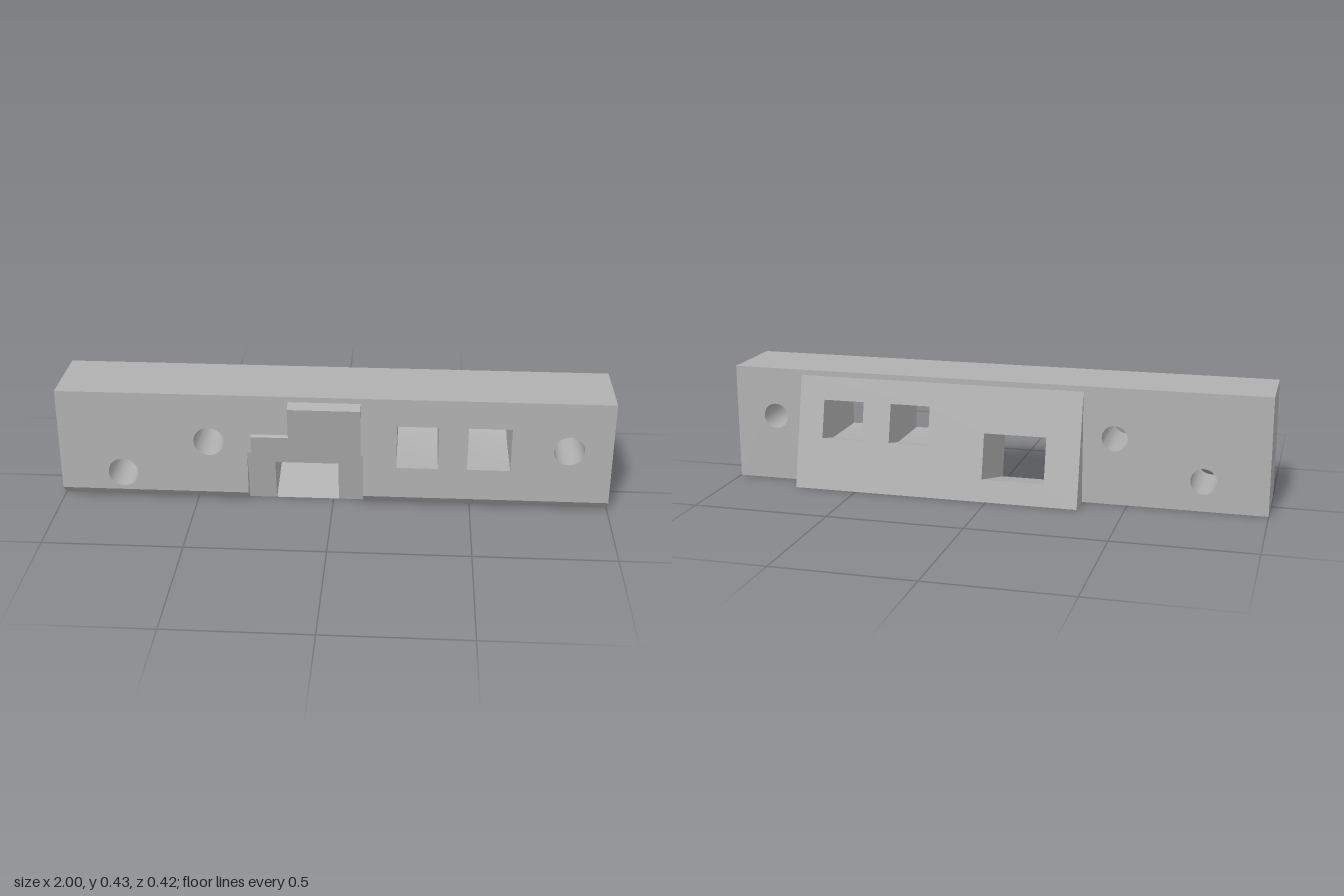
import * as THREE from 'three';
import { toCreasedNormals } from 'three/addons/utils/BufferGeometryUtils.js';

const FRONT = 0.165, BACK = -0.115, TOP = 0.43, CHAMFER = 0.04;
const SLOPE = 0.23;                      // lean shared by the wedge, pocket and hook
const POCKET = [-0.31, 0.11], POCKET_TOP = 0.205;
const WEDGE = [-0.335, 0.735], WEDGE_TOP = 0.41;
const pocketZ = y => FRONT + SLOPE * (y - POCKET_TOP);
const wedgeZ = y => BACK - SLOPE * (WEDGE_TOP - y);

const rect = (x0, x1, y0, y1) => [[x0, y0], [x1, y0], [x1, y1], [x0, y1]];
const circle = (cx, cy, r, n = 32) => Array.from({ length: n }, (_, i) => {
  const a = (i / n) * Math.PI * 2;
  return [cx + r * Math.cos(a), cy + r * Math.sin(a)];
});
const toVectors = pts => pts.map(p => new THREE.Vector2(...p));

export function createModel() {
  const grey = new THREE.MeshStandardMaterial({ color: 0xb0b0b0 });
  grey.name = 'grey';
  const model = new THREE.Group();
  model.name = 'mountingBar';

  const add = (name, geometry) => {
    const mesh = new THREE.Mesh(geometry, grey);
    mesh.name = name;
    model.add(mesh);
  };

  // Flat panel: a 2D outline with holes, placed in space by a rule
  const panel = (name, outline, place, flip = false, holes = []) => {
    const shape = new THREE.Shape(toVectors(outline));
    holes.forEach(h => shape.holes.push(new THREE.Path(toVectors(h))));
    const g = new THREE.ShapeGeometry(shape);
    const p = g.attributes.position;
    for (let i = 0; i < p.count; i++) p.setXYZ(i, ...place(p.getX(i), p.getY(i)));
    if (flip) g.index.array.reverse();
    const flat = g.toNonIndexed();
    flat.computeVertexNormals();
    add(name, flat);
  };

  // Inner walls of a hole, through rings running from front to back
  const bore = (name, rings) => {
    const n = rings[0].length, index = [];
    for (let r = 0; r < rings.length - 1; r++) {
      for (let i = 0; i < n; i++) {
        const a = r * n + i, b = r * n + (i + 1) % n;
        index.push(a, b, a + n, b, b + n, a + n);
      }
    }
    const g = new THREE.BufferGeometry();
    g.setAttribute('position', new THREE.Float32BufferAttribute(rings.flat(2), 3));
    g.setIndex(index);
    add(name, toCreasedNormals(g, 0.4));
  };
  const ring = (pts, z) => pts.map(([x, y]) => [x, y, z(y)]);

  // Side profile (z, y) pulled along x
  const prism = (name, x0, x1, profile) => {
    const g = new THREE.ExtrudeGeometry(new THREE.Shape(toVectors(profile)),
      { depth: x1 - x0, bevelEnabled: false });
    g.rotateY(-Math.PI / 2).translate(x1, 0, 0);
    add(name, g);
  };

  const screws = [[-0.77, 0.11], [-0.45, 0.245], [0.845, 0.245]];
  const windows = [[0.23, 0.38], [0.485, 0.64]];
  const slot = [-0.21, 0.02];
  const frontSlot = rect(...slot, 0, 0.165);
  const backSlot = rect(...slot, 0.08, 0.243);

  // Front of the bar, notched around the pocket
  panel('frontFace', [[-1, CHAMFER], [POCKET[0], CHAMFER], [POCKET[0], POCKET_TOP],
    [POCKET[1], POCKET_TOP], [POCKET[1], CHAMFER], [1, CHAMFER], [1, TOP], [-1, TOP]],
  (x, y) => [x, y, FRONT], false, [
    ...screws.map(([x, y]) => circle(x, y, 0.055)),
    ...windows.map(w => rect(...w, 0.16, 0.325)),
  ]);
  for (const [x0, x1] of [[-1, POCKET[0]], [POCKET[1], 1]]) {
    panel('frontChamfer', rect(x0, x1, 0, CHAMFER), (x, y) => [x, y, FRONT - CHAMFER + y]);
  }

  // Leaning pocket around the slot, with its two side walls
  panel('pocketFace', [[POCKET[0], 0], [slot[0], 0], [slot[0], 0.165], [slot[1], 0.165],
    [slot[1], 0], [POCKET[1], 0], [POCKET[1], POCKET_TOP], [POCKET[0], POCKET_TOP]],
  (x, y) => [x, y, pocketZ(y)]);
  POCKET.forEach((px, i) => panel('pocketWall',
    [[pocketZ(0), 0], [FRONT - CHAMFER, 0], [FRONT, CHAMFER], [FRONT, POCKET_TOP]],
    (z, y) => [px, y, z], i === 0));

  // Hook and its lower step, continuing the lean of the pocket
  prism('hook', -0.16, 0.1, [[FRONT, POCKET_TOP], [pocketZ(0.4), 0.4], [FRONT, 0.41]]);
  prism('hookStep', -0.295, -0.16, [[FRONT, POCKET_TOP], [pocketZ(0.275), 0.275], [FRONT, 0.279]]);

  // Back of the bar and the wedge
  panel('backFace', [[-1, 0], [WEDGE[0], 0], [WEDGE[0], WEDGE_TOP], [WEDGE[1], WEDGE_TOP],
    [WEDGE[1], 0], [1, 0], [1, TOP], [-1, TOP]],
  (x, y) => [x, y, BACK], true, screws.map(([x, y]) => circle(x, y, 0.047)));
  panel('wedgeFace', rect(...WEDGE, 0, WEDGE_TOP), (x, y) => [x, y, wedgeZ(y)], true,
    [backSlot, ...windows.map(w => rect(...w, 0.185, 0.325))]);
  WEDGE.forEach((wx, i) => panel('wedgeEnd',
    [[wedgeZ(0), 0], [BACK, 0], [BACK, WEDGE_TOP]], (z, y) => [wx, y, z], i === 1));

  // Ends, top and underside
  for (const s of [-1, 1]) {
    panel('barEnd', [[BACK, 0], [FRONT - CHAMFER, 0], [FRONT, CHAMFER], [FRONT, TOP], [BACK, TOP]],
      (z, y) => [s, y, z], s > 0);
  }
  panel('topFace', rect(-1, 1, BACK, FRONT), (x, z) => [x, TOP, z], true);
  const lip = FRONT - CHAMFER;
  panel('underside', [[-1, BACK], [WEDGE[0], BACK], [WEDGE[0], wedgeZ(0)], [WEDGE[1], wedgeZ(0)],
    [WEDGE[1], BACK], [1, BACK], [1, lip], [POCKET[1], lip], [POCKET[1], pocketZ(0)],
    [POCKET[0], pocketZ(0)], [POCKET[0], lip], [-1, lip]], (x, z) => [x, 0, z]);

  // Hole walls: tapered screw holes, windows and the sloping slot
  for (const [x, y] of screws) {
    bore('screwHole', [ring(circle(x, y, 0.055), () => FRONT), ring(circle(x, y, 0.047), () => BACK)]);
  }
  for (const w of windows) {
    bore('windowHole', [
      ring(rect(...w, 0.16, 0.325), () => FRONT),
      ring(rect(...w, 0.16, 0.325), () => -0.06),
      ring(rect(...w, 0.185, 0.325), wedgeZ),
    ]);
  }
  bore('slotHole', [ring(frontSlot, pocketZ), ring(backSlot, wedgeZ)]);

  return model;
}
